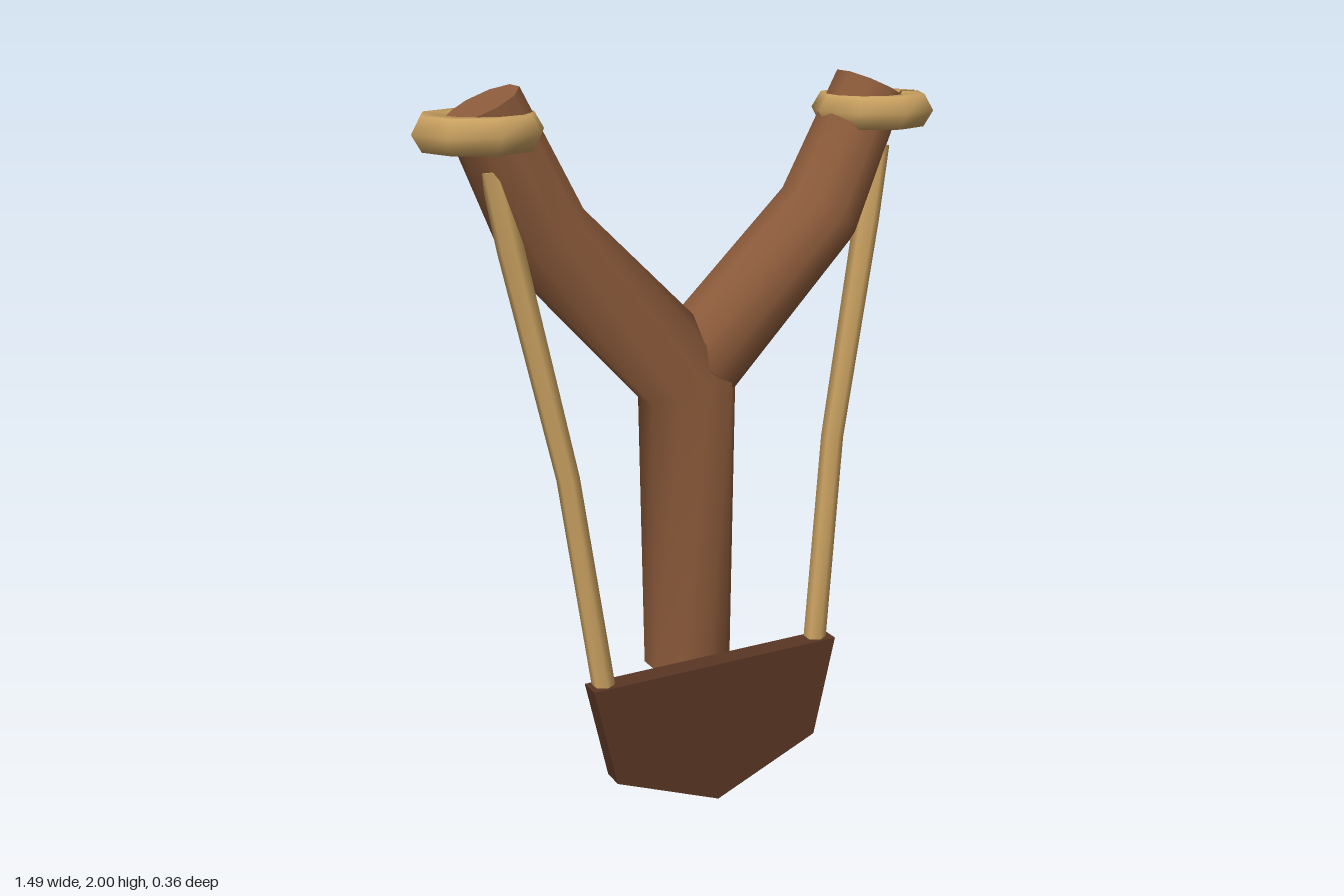
import * as THREE from 'three';

const V = (x, y, z) => new THREE.Vector3(x, y, z);

// Mitred, tapered tube along stations [x, y, z, radius], closed with flat caps
function limb(stations, sides) {
  const pts = stations.map(s => V(s[0], s[1], s[2]));
  const last = pts.length - 1;
  const pos = [], idx = [], rings = [];
  const dir = i => pts[i + 1].clone().sub(pts[i]).normalize();
  pts.forEach((p, i) => {
    const before = dir(Math.max(i - 1, 0)), after = dir(Math.min(i, last - 1));
    const t = before.clone().add(after).normalize();
    const stretch = 1 / t.dot(after);
    const b = V(0, 0, 1).addScaledVector(t, -t.z).normalize();
    const n = b.clone().cross(t);
    const ring = [];
    for (let j = 0; j < sides; j++) {
      const a = Math.PI / 2 + j / sides * Math.PI * 2, r = stations[i][3];
      ring.push(p.clone().addScaledVector(n, Math.cos(a) * r * stretch).addScaledVector(b, Math.sin(a) * r));
    }
    rings.push(ring);
    ring.forEach(q => pos.push(q.x, q.y, q.z));
  });
  for (let i = 0; i < last; i++) {
    for (let j = 0; j < sides; j++) {
      const k = (j + 1) % sides;
      const a = i * sides + j, b = i * sides + k, c = b + sides, d = a + sides;
      idx.push(a, b, c, a, c, d);
    }
  }
  // Caps get their own vertices so the rim stays sharp
  [0, last].forEach(i => {
    const base = pos.length / 3;
    [pts[i], ...rings[i]].forEach(q => pos.push(q.x, q.y, q.z));
    for (let j = 0; j < sides; j++) {
      const a = base + 1 + j, b = base + 1 + (j + 1) % sides;
      if (i === 0) idx.push(base, b, a); else idx.push(base, a, b);
    }
  });
  const g = new THREE.BufferGeometry();
  g.setAttribute('position', new THREE.Float32BufferAttribute(pos, 3));
  g.setIndex(idx);
  g.computeVertexNormals();
  return g;
}

export function createModel() {
  const group = new THREE.Group();
  const material = (name, color, side = THREE.FrontSide) => {
    const m = new THREE.MeshStandardMaterial({ color, side });
    m.name = name;
    return m;
  };
  const wood = material('wood', 0x8b5a3a);
  const leather = material('leather', 0x5a3624);
  const rubber = material('rubber', 0xc8a060, THREE.DoubleSide);
  const add = (name, geometry, mat) => {
    const mesh = new THREE.Mesh(geometry, mat);
    mesh.name = name;
    group.add(mesh);
    return mesh;
  };

  // Wooden fork: the handle bends into the right arm, the left arm joins it
  add('handleAndRightArm', limb([
    [0, 0.36, -0.012, 0.124], [0, 1.2, -0.013, 0.135],
    [-0.41, 1.62, -0.012, 0.12], [-0.565, 1.955, -0.01, 0.102],
  ], 10), wood);
  add('leftArm', limb([
    [0.02, 1.23, -0.013, 0.13], [0.41, 1.62, -0.012, 0.12], [0.565, 1.955, -0.01, 0.102],
  ], 10), wood);

  for (const [side, s] of [['left', 1], ['right', -1]]) {
    // Band wrapped round the arm tip, with a small split
    const gap = 0.12;
    const wrap = new THREE.TorusGeometry(0.12, 0.05, 6, 8, Math.PI * 2 - gap);
    wrap.rotateZ(gap / 2).rotateX(-Math.PI / 2);
    add(side + 'BandWrap', wrap, rubber).position.set(s * 0.575, 1.89, -0.012);

    // Elastic band down to the pouch
    add(side + 'Band', limb([
      [s * 0.56, 1.8, 0.04, 0.034], [s * 0.525, 1.6, 0.052, 0.035],
      [s * 0.405, 1.0, 0.095, 0.031], [s * 0.325, 0.33, 0.146, 0.032],
    ], 6), rubber);
  }

  // Pouch
  const outline = [[-0.38, 0.42], [-0.315, 0.13], [0, 0], [0.315, 0.13], [0.38, 0.42]];
  const shape = new THREE.Shape(outline.map(p => new THREE.Vector2(...p)));
  const pouch = new THREE.ExtrudeGeometry(shape, { depth: 0.062, bevelEnabled: false });
  add('pouch', pouch, leather).position.z = 0.116;

  return group;
}
